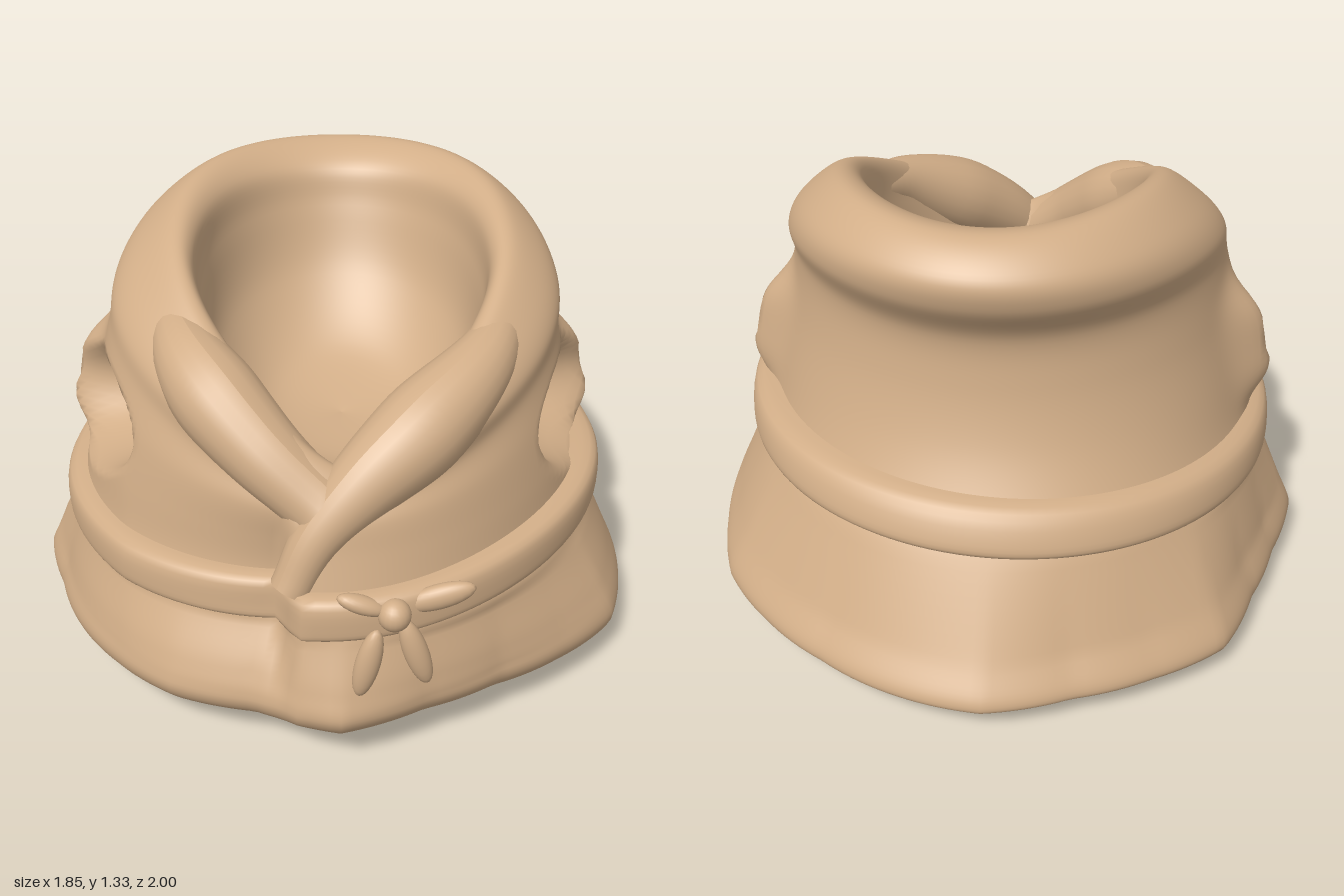
import * as THREE from 'three';

const cloth = new THREE.MeshStandardMaterial({ color: 0xd2ae88, side: THREE.DoubleSide });
cloth.name = 'tan cloth';
const { clamp, lerp, smoothstep } = THREE.MathUtils;

function add(group, name, geometry) {
  const mesh = new THREE.Mesh(geometry, cloth);
  mesh.name = name;
  group.add(mesh);
  return mesh;
}

function spline(a, b, c, d, t) {
  return b + 0.5 * t * (c - a + t * (2 * a - 5 * b + 4 * c - d + t * (3 * (b - c) + d - a)));
}

// Skin over tilted oval rings: [half width, front z, back z, front y, side y, back y, front point]
function loft(rings, sub, seg, bend) {
  const pos = [], index = [], n = rings.length - 1, rows = n * sub;
  for (let r = 0; r <= rows; r++) {
    const i = Math.min(Math.floor(r / sub), n - 1), t = r / sub - i;
    const R = (k) => rings[Math.max(0, Math.min(n, k))];
    const [w, zf, zb, yf, ys, yb, p] = R(i).map((_, k) =>
      spline(R(i - 1)[k], R(i)[k], R(i + 1)[k], R(i + 2)[k], t));
    for (let s = 0; s < seg; s++) {
      const a = (s / seg) * Math.PI * 2, c = Math.cos(a);
      const v = new THREE.Vector3(
        w * Math.sin(a) * (1 - p * Math.max(0, c) ** 2),
        ys + ((yf - yb) / 2) * c + ((yf + yb) / 2 - ys) * c * c,
        (zf + zb) / 2 + ((zf - zb) / 2) * c);
      bend(v, r / sub);
      pos.push(v.x, v.y, v.z);
      if (r < rows) {
        const q = r * seg + s, e = r * seg + (s + 1) % seg;
        index.push(q, e, e + seg, q, e + seg, q + seg);
      }
    }
  }
  const g = new THREE.BufferGeometry();
  g.setAttribute('position', new THREE.Float32BufferAttribute(pos, 3));
  g.setIndex(index);
  g.computeVertexNormals();
  return g;
}

// Tube that swells gently from its start and narrows to its end
function roll(points, radius, endScale) {
  const curve = new THREE.CatmullRomCurve3(points.map((p) => new THREE.Vector3(...p)));
  const g = new THREE.TubeGeometry(curve, 40, radius, 20);
  const pos = g.attributes.position, v = new THREE.Vector3();
  for (let i = 0; i < pos.count; i++) {
    const u = Math.floor(i / 21) / 40, c = curve.getPointAt(u);
    const k = (0.3 + 0.7 * smoothstep(u, 0, 0.6)) * lerp(1, endScale, smoothstep(u, 0.5, 1));
    v.fromBufferAttribute(pos, i).sub(c).multiplyScalar(k).add(c);
    pos.setXYZ(i, v.x, v.y, v.z);
  }
  g.computeVertexNormals();
  return g;
}

// The right front panel tucks under the left one
function tuck(v) {
  if (v.z > 0.4 && v.x < -0.12) {
    const depth = 0.1 * Math.exp(-(((v.y - 0.48) / 0.23) ** 2));
    v.z -= depth * smoothstep(-v.x, 0.12, 0.16) * clamp(1 + (v.x + 0.15) / 0.45, 0, 1);
  }
}

// Uneven hem: radius factor every 15 degrees, from the front round by the left
const hem = [1, 0.935, 0.924, 0.965, 1.02, 1.005, 0.995, 0.995, 1.01, 0.985, 0.972, 0.985,
  1, 0.96, 0.968, 0.998, 0.945, 0.945, 0.995, 0.95, 0.95, 0.95, 0.96, 0.94];

function shapeRobe(v, row) {
  if (row < 6) {
    const a = ((Math.atan2(v.x, v.z) / Math.PI) * 12 + 24) % 24, i = Math.floor(a) % 24;
    const f = lerp(hem[i], hem[(i + 1) % 24], a % 1);
    const k = 1 + (f - 1) * clamp((0.45 - v.y) / 0.25, 0, 1);
    v.x *= k;
    v.z *= k;
  }
  // Notch of the neckline
  if (row > 10 && row < 16 && v.z > 0.4) {
    v.y -= 0.1 * Math.max(0, 1 - Math.abs(v.x) / 0.24) * Math.min(1, row - 10, 16 - row);
  }
  // The collar leans a little to the left
  v.x += 0.025 * smoothstep(row, 9, 13);
  if (row > 11) return;
  tuck(v);
  // Arm openings with a lip behind them
  const side = Math.sign(v.x);
  if (Math.abs(v.x) > 0.3) {
    const d = Math.hypot((v.z - 0.23) / 0.28, (v.y - 0.745) / 0.17);
    const lip = Math.exp(-(((v.z + 0.03) / 0.09) ** 2) - ((v.y - 0.75) / 0.17) ** 4);
    v.x += side * (0.09 * lip - 0.18 * (1 - smoothstep(d, 0.5, 1)));
  }
}

export function createModel() {
  const robe = new THREE.Group();
  robe.name = 'robe';

  // Hem, skirt, chest, rolled collar and hollow inside in one skin
  add(robe, 'robeBody', loft([
    [0, 0, 0, 0.015, 0.015, 0.015, 0],
    [0.5, 0.45, -0.6, 0.005, 0.005, 0.003, 0],
    [0.8, 0.74, -0.83, 0.05, 0.02, 0.035, 0],
    [0.9, 0.92, -0.96, 0.1, 0.055, 0.07, 0],
    [0.93, 1, -1, 0.18, 0.12, 0.11, 0],
    [0.88, 0.98, -0.93, 0.27, 0.24, 0.22, 0.02],
    [0.8, 0.92, -0.79, 0.41, 0.41, 0.45, 0.12],
    [0.76, 0.89, -0.7, 0.52, 0.53, 0.58, 0.17],
    [0.73, 0.86, -0.63, 0.63, 0.68, 0.72, 0.17],
    [0.69, 0.84, -0.59, 0.71, 0.85, 0.88, 0.17],
    [0.66, 0.81, -0.59, 0.77, 1.0, 1.03, 0.17],
    [0.65, 0.82, -0.67, 0.84, 1.1, 1.16, 0.17],
    [0.59, 0.78, -0.67, 0.9, 1.185, 1.25, 0.17],
    [0.49, 0.74, -0.56, 0.92, 1.245, 1.325, 0.2],
    [0.43, 0.7, -0.42, 0.89, 1.2, 1.27, 0.32],
    [0.41, 0.66, -0.37, 0.82, 1.07, 1.15, 0.35],
    [0.36, 0.58, -0.28, 0.73, 0.87, 0.95, 0.2],
    [0.22, 0.42, -0.1, 0.68, 0.72, 0.77, 0],
    [0, 0.16, 0.16, 0.68, 0.68, 0.68, 0],
  ], 8, 192, shapeRobe));

  // Crossed collar folds
  add(robe, 'rightLapel', roll([[-0.5, 1.1, 0.1], [-0.39, 1, 0.46],
    [-0.21, 0.85, 0.66], [-0.04, 0.72, 0.76]], 0.125, 0.75));
  add(robe, 'leftLapel', roll([[0.53, 1.1, 0.1], [0.41, 1.01, 0.46], [0.22, 0.89, 0.65],
    [0.06, 0.78, 0.75], [-0.06, 0.66, 0.81], [-0.13, 0.52, 0.84]], 0.13, 0.45));

  // Belt, a little higher on the left
  add(robe, 'belt', loft([
    [0.76, 0.88, -0.72, 0.41, 0.42, 0.45, 0.17],
    [0.81, 0.93, -0.785, 0.415, 0.43, 0.46, 0.14],
    [0.825, 0.94, -0.79, 0.45, 0.47, 0.5, 0.14],
    [0.81, 0.93, -0.745, 0.53, 0.55, 0.58, 0.16],
    [0.73, 0.86, -0.66, 0.54, 0.57, 0.6, 0.17],
  ], 4, 128, (v) => {
    tuck(v);
    v.y += 0.04 * v.x;
  }));

  // Bow: knot, two loops, two hanging tails [x, y, z, length, width, angle]
  const bow = new THREE.Group();
  bow.name = 'bow';
  robe.add(bow);
  add(bow, 'knot', new THREE.SphereGeometry(0.045, 20, 14)).position.set(0.14, 0.495, 0.925);
  [['leftLoop', 0.26, 0.522, 0.885, 0.1, 0.036, 0.3],
    ['rightLoop', 0.055, 0.525, 0.92, 0.07, 0.025, -0.35],
    ['rightTail', 0.07, 0.37, 0.965, 0.11, 0.034, 1.35],
    ['leftTail', 0.2, 0.37, 0.92, 0.11, 0.034, -1.25],
  ].forEach(([name, x, y, z, length, width, angle]) => {
    const part = add(bow, name, new THREE.SphereGeometry(1, 20, 14));
    part.scale.set(length, width, 0.028);
    part.position.set(x, y, z);
    part.rotation.z = angle;
  });
  return robe;
}
